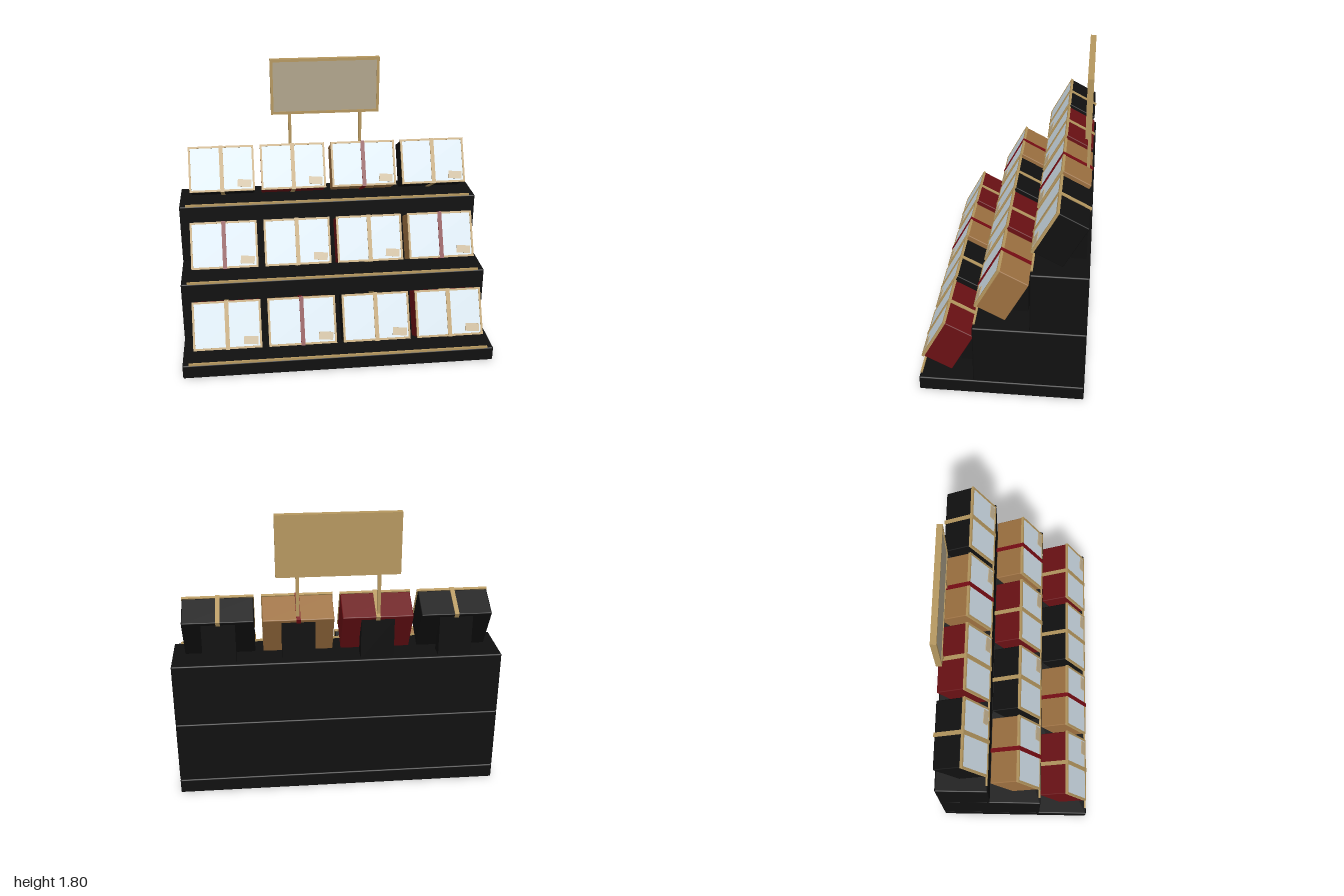
import * as THREE from 'three';
import { RoundedBoxGeometry } from 'three/addons/geometries/RoundedBoxGeometry.js';

const mat = (name, color) => {
  const m = new THREE.MeshStandardMaterial({ color });
  m.name = name;
  return m;
};

function add(parent, name, geometry, material, x = 0, y = 0, z = 0) {
  const mesh = new THREE.Mesh(geometry, material);
  mesh.name = name;
  mesh.position.set(x, y, z);
  parent.add(mesh);
  return mesh;
}

const box = (w, h, d) => new THREE.BoxGeometry(w, h, d);

// Rectangular frame lying in the xy plane, centred on the origin
function frameGeometry(w, h, border, depth) {
  const rect = (target, a, b) => target.moveTo(-a, -b).lineTo(a, -b).lineTo(a, b).lineTo(-a, b).closePath();
  const shape = rect(new THREE.Shape(), w / 2, h / 2);
  shape.holes.push(rect(new THREE.Path(), w / 2 - border, h / 2 - border));
  return new THREE.ExtrudeGeometry(shape, { depth, bevelEnabled: false }).translate(0, 0, -depth / 2);
}

export function createModel() {
  const model = new THREE.Group();
  model.name = 'displayStand';

  const black = mat('black', 0x101010);
  const red = mat('deepRed', 0x6a1014);
  const wood = mat('caramel', 0x9c7040);
  const gold = mat('gold', 0xb5975f);
  const ribbonRed = mat('ribbonRed', 0x780c14);
  const glass = mat('paleBlue', 0xcfdde6);
  const beige = mat('tagBeige', 0xc2b08e);
  const panel = mat('signPanel', 0xb0a58c);

  // Stepped base, with a thin gold rail on the front edge of each step
  const steps = [
    { bottom: 0, top: 0.092, front: 0.497 },
    { bottom: 0.094, top: 0.492, front: 0.168 },
    { bottom: 0.494, top: 0.892, front: -0.167 },
  ];
  const back = -0.497;
  for (const s of steps) {
    const h = s.top - s.bottom, d = s.front - back;
    add(model, 'step', new RoundedBoxGeometry(2, h, d, 2, 0.008), black, 0, s.bottom + h / 2, back + d / 2);
    add(model, 'rail', box(1.92, 0.014, 0.012), gold, 0, s.top + 0.004, s.front - 0.008);
  }

  // Tilted gift boxes
  const W = 0.43, H = 0.303, D = 0.205, tilt = THREE.MathUtils.degToRad(28);
  const lid = 0.016;
  const bodyGeo = new RoundedBoxGeometry(W - 0.006, H - 0.006, D - lid, 2, 0.006);
  const frameGeo = frameGeometry(W, H, 0.013, lid);
  const paneGeo = box(W - 0.024, H - 0.024, 0.008);
  const ribbonGeo = box(0.026, H + 0.006, D + 0.006);
  const tagGeo = box(0.09, 0.05, 0.005);

  function giftBox(body, ribbon) {
    const g = new THREE.Group();
    g.name = 'giftBox';
    add(g, 'boxBody', bodyGeo, body, 0, 0, -lid / 2);
    add(g, 'lidFrame', frameGeo, gold, 0, 0, D / 2 - lid / 2);
    add(g, 'window', paneGeo, glass, 0, 0, D / 2 - 0.007);
    add(g, 'ribbon', ribbonGeo, ribbon);
    add(g, 'tag', tagGeo, beige, 0.147, -0.102, D / 2).rotation.z = -0.09;
    g.rotation.x = -tilt;
    return g;
  }

  // Prop behind a box, its sloped top meeting the back of the box (side profile)
  const prop = new THREE.Shape();
  prop.moveTo(-0.062, -0.19).lineTo(-0.15, -0.19).lineTo(-0.15, 0.065).lineTo(-0.062, -0.04).closePath();
  const propGeo = new THREE.ExtrudeGeometry(prop, { depth: 0.2, bevelEnabled: false })
    .translate(0, 0, -0.1).rotateY(-Math.PI / 2);

  const bodies = [red, wood, black];
  const rows = [[0.281, 0.33], [0.681, 0.003], [1.081, -0.325]];
  rows.forEach(([y, z], row) => {
    for (let col = 0; col < 4; col++) {
      const x = (col - 1.5) * 0.473;
      const body = bodies[(row + col) % 3];
      const g = giftBox(body, body === wood ? ribbonRed : gold);
      g.position.set(x, y, z);
      model.add(g);
      add(model, 'prop', propGeo, black, x, y, z);
    }
  });

  // Sign on two posts
  const signY = 1.613, signZ = -0.451;
  for (const side of [-1, 1]) {
    add(model, 'signPost', box(0.02, 0.58, 0.02), gold, side * 0.24, 1.18, -0.459);
  }
  add(model, 'signBack', box(0.73, 0.374, 0.024), gold, 0, signY, signZ - 0.006);
  add(model, 'signFrame', frameGeometry(0.73, 0.374, 0.018, 0.012), gold, 0, signY, signZ + 0.012);
  add(model, 'signPanel', box(0.694, 0.338, 0.006), panel, 0, signY, signZ + 0.01);

  return model;
}
